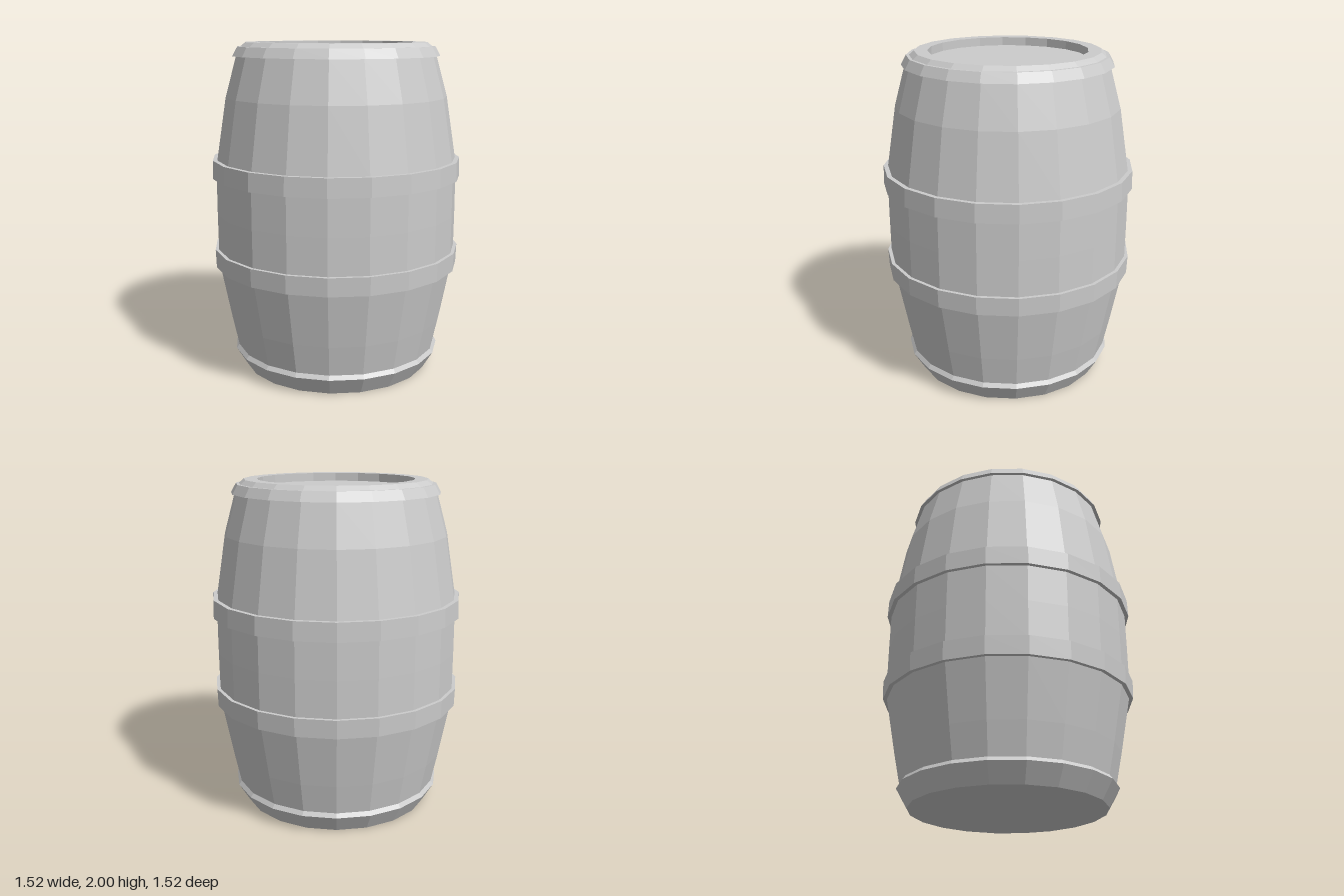
import * as THREE from 'three';

const SIDES = 20;

export function createModel() {
  const barrel = new THREE.Group();
  barrel.name = 'barrel';
  const material = new THREE.MeshStandardMaterial({ color: 0xcccccc, flatShading: true });

  // Revolves a [radius, height] profile, listed from bottom to top
  const turn = (name, profile) => {
    const points = profile.map(([r, y]) => new THREE.Vector2(r, y));
    const mesh = new THREE.Mesh(new THREE.LatheGeometry(points, SIDES), material);
    mesh.name = name;
    barrel.add(mesh);
  };

  // Bulging staves with a flat base and a recessed lid
  turn('body', [
    [0, 0], [0.58, 0], [0.627, 0.13], [0.667, 0.32], [0.73, 0.65], [0.737, 0.76],
    [0.738, 0.98], [0.737, 1.2], [0.73, 1.31], [0.67, 1.68], [0.603, 1.92],
    [0.576, 1.975], [0.547, 2], [0.47, 2], [0.47, 1.95], [0, 1.95],
  ]);

  // Hoops: inner bottom, outer bottom, outer top, inner top
  turn('bottomHoop', [[0.575, 0], [0.58, 0], [0.645, 0.11], [0.627, 0.135]]);
  turn('lowerHoop', [[0.725, 0.65], [0.754, 0.65], [0.758, 0.76], [0.73, 0.76]]);
  turn('upperHoop', [[0.73, 1.2], [0.761, 1.2], [0.757, 1.31], [0.725, 1.31]]);
  turn('topHoop', [[0.6, 1.92], [0.625, 1.92], [0.594, 1.975], [0.574, 1.975]]);

  return barrel;
}
